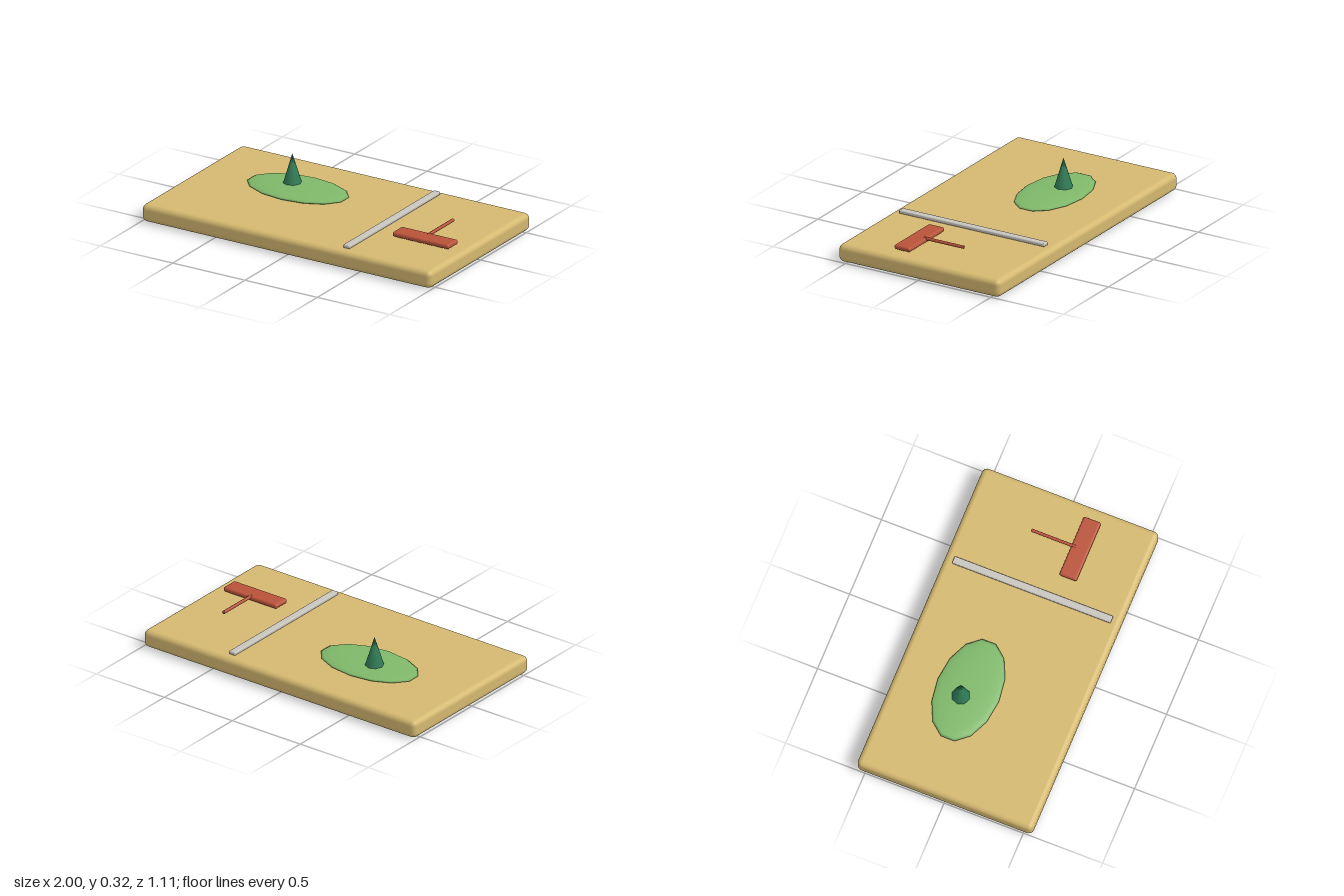
import * as THREE from 'three';
import { RoundedBoxGeometry } from 'three/addons/geometries/RoundedBoxGeometry.js';

const material = (name, color) => {
  const m = new THREE.MeshStandardMaterial({ color });
  m.name = name;
  return m;
};

export function createModel() {
  const sand = material('sand', 0xd4b870);
  const grass = material('grass green', 0x7fb86a);
  const pine = material('pine green', 0x2f7a55);
  const stone = material('pale grey', 0xc8c4be);
  const red = material('brick red', 0xb9533a);

  const group = new THREE.Group();
  const add = (name, geometry, mat, x, y, z) => {
    const mesh = new THREE.Mesh(geometry, mat);
    mesh.name = name;
    mesh.position.set(x, y, z);
    group.add(mesh);
    return mesh;
  };

  // Tray with softly rounded edges
  add('tray', new RoundedBoxGeometry(2, 0.11, 1.11, 3, 0.033), sand, 0, 0.055, 0);

  // Flattened fourteen-sided mound, a point of its outline facing +z
  const moundShape = new THREE.SphereGeometry(1, 14, 10);
  moundShape.rotateY(Math.PI / 2);
  moundShape.scale(0.334, 0.022, 0.193);
  add('mound', moundShape, grass, -0.335, 0.122, -0.115);

  // Little conical tree
  add('tree', new THREE.ConeGeometry(0.06, 0.195, 8), pine, -0.39, 0.2275, -0.14);

  // Divider lying across the tray
  add('divider', new RoundedBoxGeometry(0.045, 0.022, 1, 2, 0.007), stone, 0.385, 0.122, 0);

  // Rake: head and round handle
  add('rakeHead', new RoundedBoxGeometry(0.39, 0.03, 0.11, 3, 0.013), red, 0.72, 0.135, 0.165);
  const handle = add('rakeHandle', new THREE.CylinderGeometry(0.01, 0.01, 0.277, 8), red, 0.72, 0.143, -0.0035);
  handle.rotation.x = Math.PI / 2;

  return group;
}
